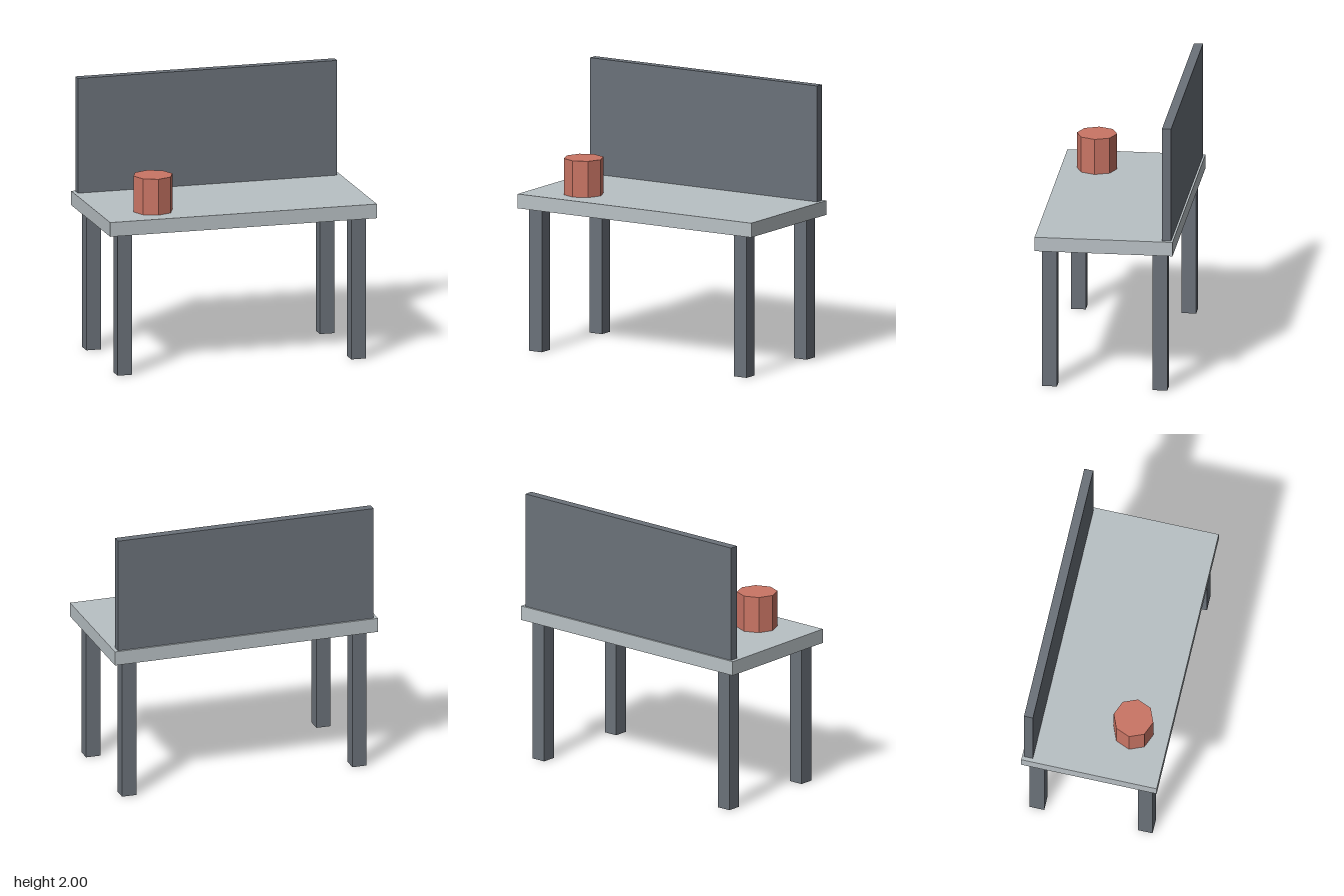
import * as THREE from 'three';

export function createModel() {
  const model = new THREE.Group();
  model.name = 'desk';

  const material = (name, color) => {
    const m = new THREE.MeshStandardMaterial({ color, flatShading: true });
    m.name = name;
    return m;
  };
  const darkGrey = material('dark grey', 0x6b727a);
  const paleGrey = material('pale grey', 0xb9c1c5);
  const clayRed = material('clay red', 0xca7565);

  const add = (name, geometry, mat, x, y, z) => {
    const mesh = new THREE.Mesh(geometry, mat);
    mesh.name = name;
    mesh.position.set(x, y, z);
    model.add(mesh);
  };

  // Four square legs
  const legHeight = 1.045;
  const legGeometry = new THREE.BoxGeometry(0.108, legHeight, 0.108);
  for (const [side, x] of [['Left', 0.876], ['Right', -0.876]]) {
    for (const [end, z] of [['front', 0.4], ['back', -0.4]]) {
      add(`${end}${side}Leg`, legGeometry, darkGrey, x, legHeight / 2, z);
    }
  }

  // Worktop
  const topY = 1.15;
  add('worktop', new THREE.BoxGeometry(2, topY - legHeight, 1), paleGrey, 0, (topY + legHeight) / 2, 0);

  // Upright panel along the back edge
  add('backPanel', new THREE.BoxGeometry(1.944, 2 - topY, 0.066), darkGrey, 0, (2 + topY) / 2, -0.453);

  // Eight-sided pot
  const potHeight = 0.266;
  add('pot', new THREE.CylinderGeometry(0.146, 0.146, potHeight, 8), clayRed, -0.603, topY + potHeight / 2, 0.238);

  return model;
}
